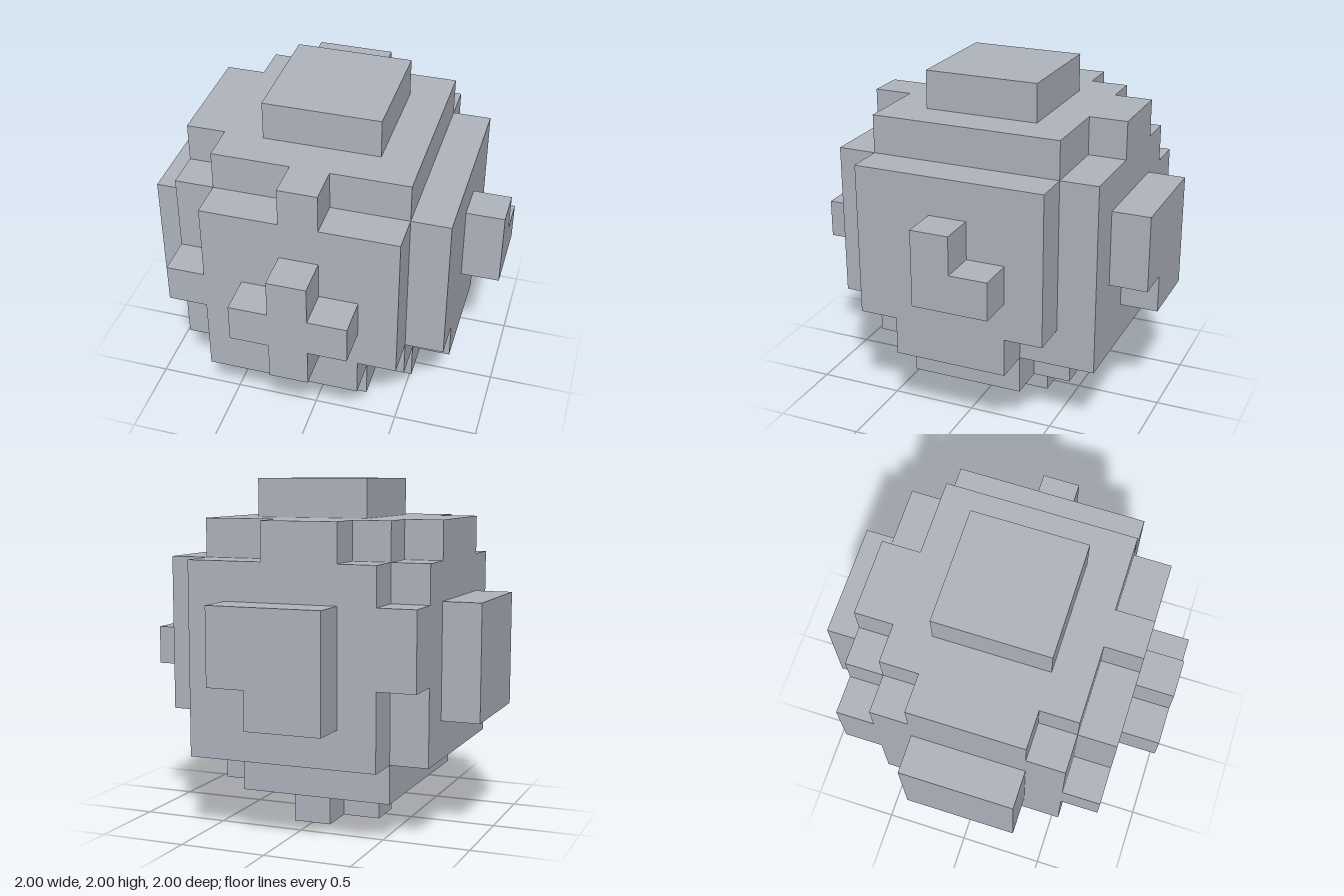
import * as THREE from 'three';

// The model sits on a 9 x 9 x 9 grid of cells, indexed -4..4 on each axis.
const CELL = 2 / 9;

export function createModel() {
  const model = new THREE.Group();
  model.name = 'blockyBoulder';
  const stone = new THREE.MeshStandardMaterial({ color: 0xb0b4be });
  stone.name = 'stone grey';

  // Each block spans inclusive cell ranges: [x0, x1, y0, y1, z0, z1].
  const part = (name, ...blocks) => {
    const group = new THREE.Group();
    group.name = name;
    blocks.forEach(([x0, x1, y0, y1, z0, z1], i) => {
      const geometry = new THREE.BoxGeometry(
        (x1 - x0 + 1) * CELL, (y1 - y0 + 1) * CELL, (z1 - z0 + 1) * CELL);
      const mesh = new THREE.Mesh(geometry, stone);
      mesh.name = `${name}Block${i + 1}`;
      mesh.position.set((x0 + x1) / 2 * CELL, (y0 + y1) / 2 * CELL + 1, (z0 + z1) / 2 * CELL);
      group.add(mesh);
    });
    model.add(group);
  };

  part('core', [-2, 2, -2, 2, -2, 2]);

  // Broad panels on the six sides, some with chipped corners
  part('topPanel', [-2, 2, 3, 3, -2, 2]);
  part('bottomPanel', [-2, 1, -3, -3, -2, 2], [2, 2, -3, -3, -1, 1]);
  part('frontPanel', [-2, 2, -1, 2, 3, 3], [-2, 1, -2, -2, 3, 3]);
  part('backPanel', [-2, 2, -2, 2, -3, -3]);
  part('leftPanel', [3, 3, -1, 2, -2, 2], [3, 3, -2, -2, -1, 1]);
  part('rightPanel', [-3, -3, -2, 2, -2, 2]);

  // Filled cells along the edges between panels
  part('topFrontEdge', [0, 0, 3, 3, 3, 3]);
  part('topBackEdge', [-1, 0, 3, 3, -3, -3]);
  part('topRightEdge', [-3, -3, 3, 3, -1, 1]);
  part('frontRightEdge', [-3, -3, 0, 0, 3, 3]);
  part('backRightEdge', [-3, -3, 0, 1, -3, -3]);

  // Outermost bumps
  part('topBump', [-1, 1, 4, 4, -1, 1]);
  part('bottomBump', [0, 0, -4, -4, -1, 0], [-1, -1, -4, -4, 0, 0]);
  part('frontBump', [0, 0, -1, 1, 4, 4], [-1, -1, 0, 0, 4, 4], [1, 1, 0, 0, 4, 4]);
  part('backBump', [-1, 1, 0, 1, -4, -4], [-1, 0, -1, -1, -4, -4]);
  part('leftBump', [4, 4, 0, 1, 0, 0], [4, 4, 0, 0, -1, -1]);
  part('rightBump', [-4, -4, -1, 1, -1, 1]);

  return model;
}
